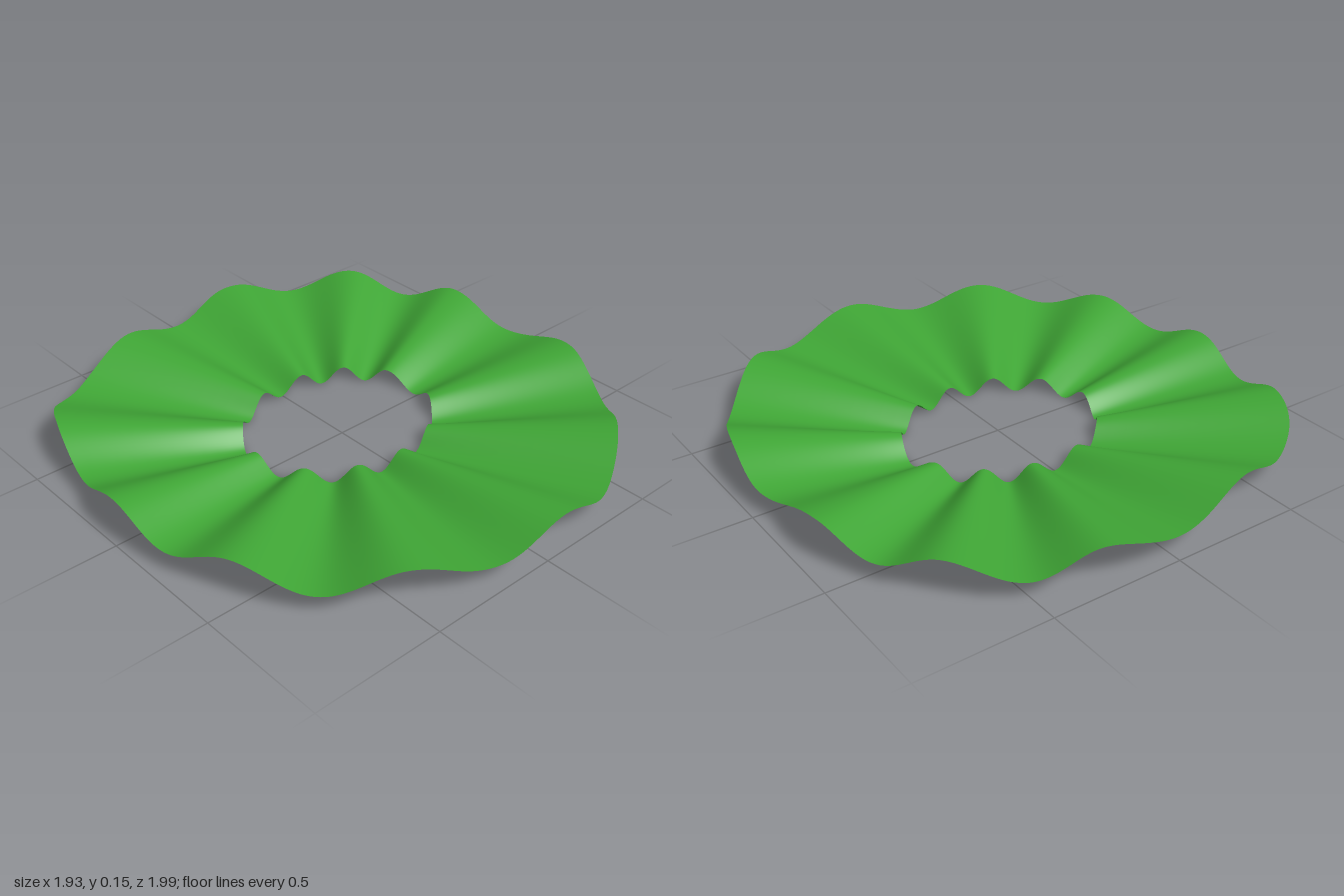
import * as THREE from 'three';

// Outer hem as seen from above, [x, z], running from +x towards +z
const HEM = [
  [0.96, 0.06], [0.945, 0.22], [0.91, 0.36], [0.82, 0.55], [0.68, 0.72], [0.5, 0.87], [0.3, 0.965],
  [0.08, 0.995], [-0.12, 0.99], [-0.25, 0.95], [-0.5, 0.86], [-0.69, 0.73], [-0.83, 0.55], [-0.93, 0.28],
  [-0.96, 0.13], [-0.965, -0.1], [-0.935, -0.27], [-0.87, -0.54], [-0.78, -0.71], [-0.6, -0.83],
  [-0.39, -0.905], [-0.19, -0.955], [0, -0.975], [0.18, -0.995], [0.33, -0.95], [0.51, -0.895],
  [0.68, -0.79], [0.82, -0.59], [0.925, -0.35], [0.935, -0.1],
];
// Angles of the pleat crests in degrees, from +x towards +z
const CRESTS = [20, 54, 87, 120, 151, 181, 212, 249, 285, 315, 342];
const SEGMENTS = 440, RINGS = 12;

// 1 on a crest, 0 in a valley
function pleat(angle) {
  const deg = (THREE.MathUtils.radToDeg(angle) + 360) % 360;
  const n = CRESTS.length;
  for (let i = 0; i < n; i++) {
    const a = CRESTS[i], b = CRESTS[(i + 1) % n] + (i === n - 1 ? 360 : 0);
    const d = deg < CRESTS[0] ? deg + 360 : deg;
    if (d >= a && d <= b) return 0.5 + 0.5 * Math.cos(2 * Math.PI * (d - a) / (b - a));
  }
  return 0;
}

function ruffleGeometry() {
  const hem = new THREE.CatmullRomCurve3(HEM.map(([x, z]) => new THREE.Vector3(x, 0, z)), true);
  const cx = 0.01, cz = -0.03, rx = 0.38, rz = 0.315; // waist opening
  const position = [], index = [];
  for (let i = 0; i < SEGMENTS; i++) {
    const p = hem.getPoint(i / SEGMENTS);
    const angle = Math.atan2(p.z - cz, p.x - cx);
    const c = Math.cos(angle), s = Math.sin(angle);
    const r = 1 / Math.hypot(c / rx, s / rz);
    const w = pleat(angle);
    for (let j = 0; j <= RINGS; j++) {
      const t = j / RINGS;
      position.push(
        THREE.MathUtils.lerp(cx + r * c, p.x, t),
        THREE.MathUtils.lerp(0.06 * w, 0.07 + 0.08 * w, t),
        THREE.MathUtils.lerp(cz + r * s, p.z, t),
      );
      if (j < RINGS) {
        const a = i * (RINGS + 1) + j, b = ((i + 1) % SEGMENTS) * (RINGS + 1) + j;
        index.push(a, b, a + 1, b, b + 1, a + 1);
      }
    }
  }
  const geometry = new THREE.BufferGeometry();
  geometry.setAttribute('position', new THREE.Float32BufferAttribute(position, 3));
  geometry.setIndex(index);
  geometry.computeVertexNormals();
  return geometry;
}

export function createModel() {
  const group = new THREE.Group();
  group.name = 'pleatedRuffle';
  const cloth = new THREE.MeshStandardMaterial({ color: 0x3fa535, side: THREE.DoubleSide });
  const ruffle = new THREE.Mesh(ruffleGeometry(), cloth);
  ruffle.name = 'ruffle';
  group.add(ruffle);
  return group;
}
